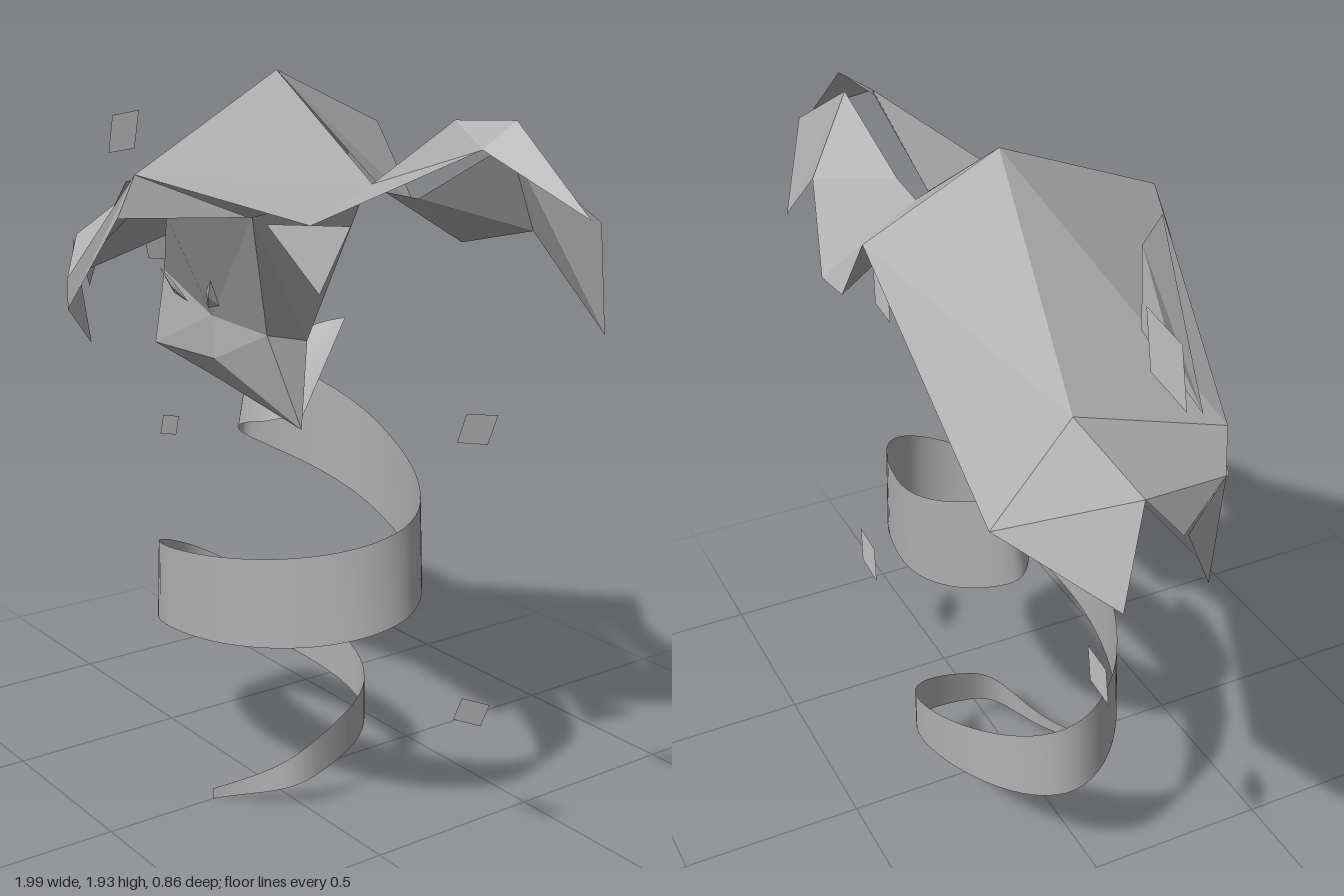
import * as THREE from 'three';

const cloth = new THREE.MeshStandardMaterial({ color: 0xb0b0b0, side: THREE.DoubleSide });
cloth.name = 'grey cloth';

// Flat-faceted sheet: named corner points and polygons written as lists of names
function sheet(name, pts, polys) {
  const pos = [];
  for (const poly of polys) {
    const c = poly.split(' ');
    for (let i = 1; i < c.length - 1; i++) pos.push(...pts[c[0]], ...pts[c[i]], ...pts[c[i + 1]]);
  }
  const g = new THREE.BufferGeometry();
  g.setAttribute('position', new THREE.Float32BufferAttribute(pos, 3));
  g.computeVertexNormals();
  const m = new THREE.Mesh(g, cloth);
  m.name = name;
  return m;
}

// Spiral edge: round turns in plan, with an even climb
function spiral(points) {
  const p = points.map((v) => new THREE.Vector3(...v));
  const plan = new THREE.CatmullRomCurve3(p, false, 'catmullrom', 0.8);
  const climb = new THREE.CatmullRomCurve3(p, false, 'catmullrom', 0.5);
  return (t) => plan.getPoint(t).setY(climb.getPoint(t).y);
}

// Smooth band between two spiral edges
function band(name, low, high, n) {
  const a = spiral(low), b = spiral(high), rows = 4, pos = [], idx = [];
  for (let i = 0; i <= n; i++) {
    const p = a(i / n), q = b(i / n);
    for (let j = 0; j <= rows; j++) {
      const v = p.clone().lerp(q, j / rows);
      pos.push(v.x, v.y, v.z);
      if (i < n && j < rows) {
        const k = i * (rows + 1) + j, l = k + rows + 1;
        idx.push(k, l, k + 1, l, l + 1, k + 1);
      }
    }
  }
  const g = new THREE.BufferGeometry();
  g.setAttribute('position', new THREE.Float32BufferAttribute(pos, 3));
  g.setIndex(idx);
  g.computeVertexNormals();
  const m = new THREE.Mesh(g, cloth);
  m.name = name;
  return m;
}

export function createModel() {
  const model = new THREE.Group();
  model.name = 'windSpirit';

  // Shared corners of the cape and hood
  const P = {
    // ridge
    r0: [-0.95, 1.53, -0.18], r1: [-0.53, 1.48, -0.12], peak: [-0.06, 1.93, -0.07],
    r3: [0.31, 1.68, -0.09], r4: [0.57, 1.85, -0.12], r5: [0.74, 1.86, -0.15], r6: [0.99, 1.67, -0.14],
    // upper edge of the left cape wing
    c3: [0.32, 1.66, -0.12], c4: [0.46, 1.66, -0.11], c5: [0.73, 1.81, -0.14], c6: [0.97, 1.66, -0.19],
    // back hem
    b0: [-1.0, 1.3, -0.25], b1: [-0.64, 1.32, -0.38], b2: [-0.1, 1.78, -0.43], b3: [0.08, 1.57, -0.42],
    b4: [0.3, 1.51, -0.39], b5: [0.69, 1.6, -0.26], b6: [0.93, 1.4, -0.26],
    // front brim
    f: [0.04, 1.71, 0.41], l1: [-0.55, 1.36, 0.28], l2: [-0.82, 1.43, 0.1], l3: [-0.96, 1.42, -0.09],
    s1: [0.44, 1.62, 0.19], s2: [0.73, 1.8, -0.06],
    brow: [-0.02, 1.6, 0.425], browL: [-0.57, 1.27, 0.27], browR: [0.31, 1.63, 0.27],
  };

  // Cape behind the ridge
  model.add(sheet('backCape', P, [
    'r0 b0 b1 r1', 'r1 b1 b2 peak', 'peak b2 b3 c3', 'c3 b3 b4', 'c3 b4 c4', 'c4 b4 b5 c5', 'c5 b5 b6 c6',
  ]));
  // Hood and sleeves in front of the ridge
  model.add(sheet('hood', P, ['peak r1 l1 f', 'peak f r3', 'f s1 r3']));
  model.add(sheet('rightSleeve', P, ['r0 r1 l1 l2', 'r0 l2 l3', 'l1 browL l2']));
  model.add(sheet('leftSleeve', P, ['r3 s1 s2 r4', 'r4 s2 r5', 'r5 s2 r6']));
  model.add(sheet('hoodBrim', P, ['f l1 browL brow', 'f brow browR']));

  // Torn tips hanging from the sleeves
  const tips = [
    ['rightSleeveTip', [-0.57, 1.27, 0.27], [-0.64, 1.15, 0.16], [-0.8, 1.42, 0.12]],
    ['rightSleeveEndTip', [-0.96, 1.42, -0.08], [-0.93, 1.25, 0.0], [-0.82, 1.43, 0.1]],
    ['leftSleeveTip', [0.55, 1.63, 0.16], [0.49, 1.47, 0.2], [0.31, 1.61, 0.22]],
  ];
  for (const [name, a, b, c] of tips) model.add(sheet(name, { a, b, c }, ['a b c']));

  // Raised fold on the hood
  model.add(sheet('hoodFold', {
    a: [-0.55, 1.41, 0.21], b: [-0.4, 1.575, 0.125], c: [-0.18, 1.67, 0.25],
    d: [-0.07, 1.68, 0.37], e: [-0.41, 1.55, 0.19],
  }, ['a e b', 'b e c', 'a d c e']));

  // Angular face with a long slanted chin, sloping back from the brim
  model.add(sheet('face', {
    top: [0.0, 1.6, 0.3], right: [0.31, 1.63, 0.26], side: [0.31, 1.67, -0.07], cheekR: [0.17, 1.31, 0.12],
    chin: [0.22, 1.07, 0.05], jaw: [-0.15, 1.14, 0.07], cheekL: [-0.39, 1.19, 0.1],
    ear: [-0.5, 1.33, 0.0], temple: [-0.37, 1.39, 0.08], nose: [-0.03, 1.33, 0.15],
    mouth: [-0.02, 1.22, 0.15], nape: [-0.03, 1.38, -0.1], spike: [0.2, 1.29, 0.02],
  }, [
    'top temple nose', 'top nose right', 'right nose cheekR', 'temple ear cheekL', 'temple cheekL nose',
    'nose cheekL mouth', 'nose mouth cheekR', 'cheekR mouth chin', 'mouth cheekL jaw', 'mouth jaw chin',
    'right cheekR spike', 'cheekR chin spike', 'right spike side', 'side spike nape', 'spike chin nape',
    'chin jaw nape', 'jaw cheekL nape', 'cheekL ear nape',
  ]));

  // Slanted eyes
  for (const [side, s, cx] of [['right', -1, -0.12], ['left', 1, 0.04]]) {
    model.add(sheet(side + 'Eye', {
      a: [cx + s * 0.04, 1.445, 0.225], b: [cx - s * 0.005, 1.41, 0.21], c: [cx - s * 0.035, 1.36, 0.185],
      d: [cx + s * 0.025, 1.375, 0.19], m: [cx + s * 0.005, 1.395, 0.21],
    }, ['a b m', 'b c m', 'c d m', 'd a m']));
  }

  // Spiral ribbon tail: x, z, lower y, upper y, backward lean of the upper edge
  const turns = [
    [0.0, 0.18, 0, 0.03, 0], [0.185, -0.06, 0.095, 0.2, 0], [-0.05, -0.3, 0.205, 0.345, 0],
    [-0.51, -0.05, 0.335, 0.55, 0], [0.0, 0.21, 0.475, 0.71, 0], [0.49, -0.05, 0.615, 0.85, 0],
    [0.08, -0.3, 0.76, 1.01, 0], [-0.31, -0.17, 0.89, 1.15, 0.02], [-0.12, -0.05, 1.0, 1.23, 0.08],
    [0.07, -0.06, 1.05, 1.3, 0.14],
  ];
  model.add(band('ribbonTail',
    turns.map(([x, z, y]) => [x, y, z]),
    turns.map(([x, z, , y, lean]) => [x * 0.97, y, z - lean]), 144));

  // Loose scraps drifting around the body: x, y, z, size
  const scraps = [
    [-0.76, 1.72, -0.03, 1], [-0.68, 0.855, -0.12, 0.6], [0.75, 1.175, -0.055, 0.72], [0.615, 0.39, -0.19, 0.7],
  ];
  scraps.forEach(([x, y, z, k], i) => {
    const at = (dx, dy, dz) => [x + dx * k, y + dy * k, z + dz * k];
    model.add(sheet('scrap' + (i + 1), {
      a: at(-0.105, -0.07, -0.01), b: at(-0.035, 0.045, 0.015), c: at(0.105, 0.07, 0.01), d: at(0.035, -0.045, -0.015),
    }, ['a d c b']));
  });

  return model;
}
